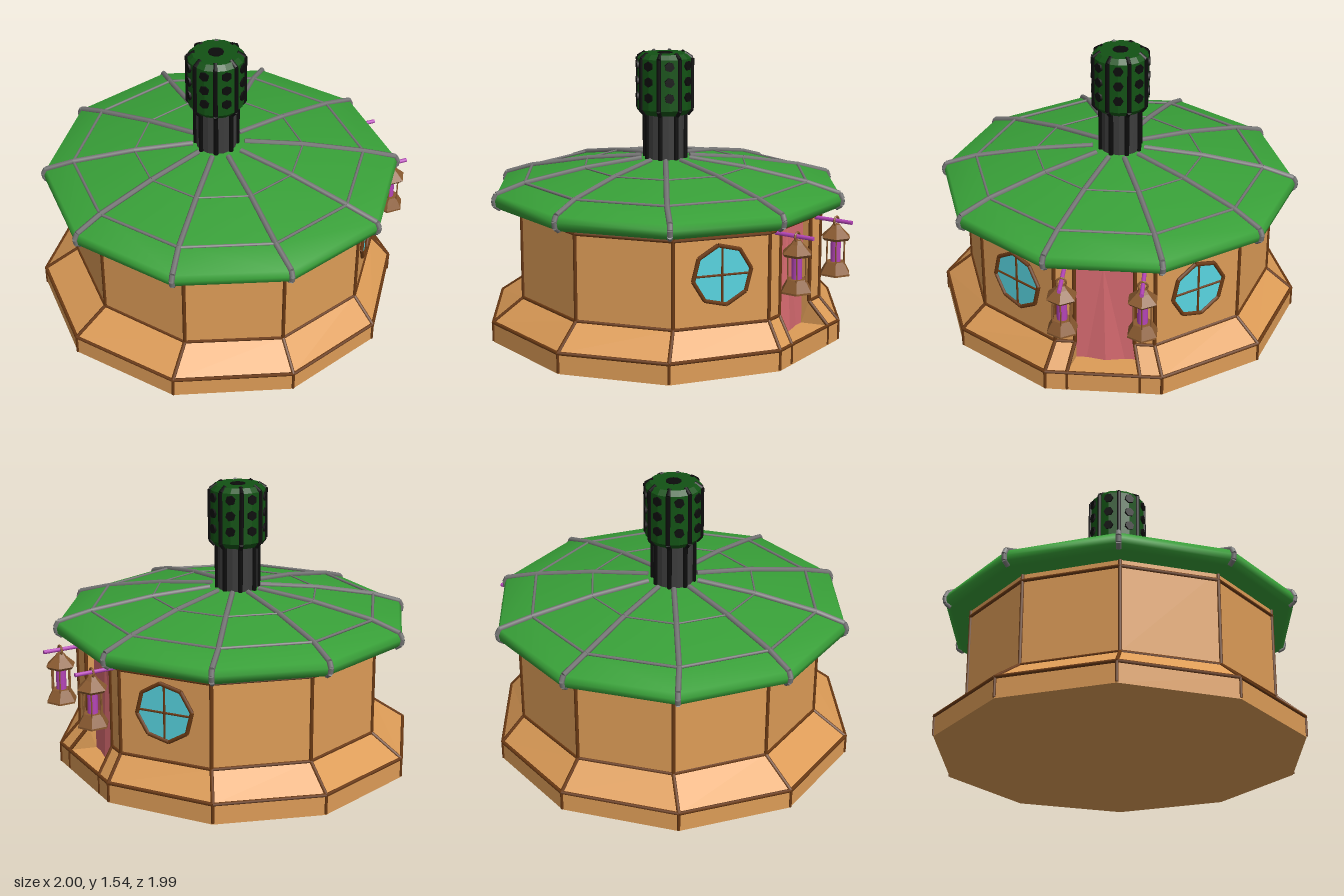
import * as THREE from 'three';

const V = (x, y, z) => new THREE.Vector3(x, y, z);
const mat = (color, opts = {}) => new THREE.MeshStandardMaterial({ color, ...opts });
const WOOD = mat(0xdd9c57, { side: THREE.DoubleSide, flatShading: true });
const TRIM = mat(0x6b3a14);
const LEAF = mat(0x38a038, { side: THREE.DoubleSide });
const GREY = mat(0x777777);
const PINK = mat(0xd66a70, { side: THREE.DoubleSide, flatShading: true });
const GLASS = mat(0x58d4e0);
const DARK = mat(0x3c3c3c, { flatShading: true });
const BLACK = mat(0x0c0c0c);
const MOSS = mat(0x125214, { flatShading: true });
const PURPLE = mat(0xb545b8);
const BROWN = mat(0x8a5a30, { flatShading: true });

const SIDES = 10;
const CX = -0.015;

function add(parent, name, geometry, material, pos) {
  const mesh = new THREE.Mesh(geometry, material);
  mesh.name = name;
  if (pos) mesh.position.copy(pos);
  parent.add(mesh);
  return mesh;
}

function group(parent, name) {
  const g = new THREE.Group();
  g.name = name;
  parent.add(g);
  return g;
}

// round bar between two points
function bar(parent, name, a, b, r, material, sides = 6) {
  const d = b.clone().sub(a);
  const mesh = add(parent, name, new THREE.CylinderGeometry(r, r, d.length(), sides), material,
    a.clone().add(b).multiplyScalar(0.5));
  mesh.quaternion.setFromUnitVectors(V(0, 1, 0), d.normalize());
  return mesh;
}

// flat polygons, each fanned from its first corner
function panels(parent, name, polys, material) {
  const p = [];
  for (const poly of polys)
    for (let i = 1; i < poly.length - 1; i++)
      for (const v of [poly[0], poly[i], poly[i + 1]]) p.push(v.x, v.y, v.z);
  const g = new THREE.BufferGeometry();
  g.setAttribute('position', new THREE.Float32BufferAttribute(p, 3));
  g.computeVertexNormals();
  return add(parent, name, g, material);
}

// ring of corners; side 0 lies between corners 0 and 1 and faces +x
function ring(rRight, rLeft, rz, y) {
  return Array.from({ length: SIDES }, (_, k) => {
    const a = THREE.MathUtils.degToRad(-18 + 36 * k), c = Math.cos(a);
    return V(CX + c * (c > 0 ? rRight : rLeft), y, Math.sin(a) * rz);
  });
}

function buildWalls(parent) {
  const B = ring(0.94, 1.03, 0.985, 0), M = ring(0.94, 1.03, 0.985, 0.11);
  const W = ring(0.836, 0.836, 0.836, 0.24), T = ring(0.836, 0.836, 0.836, 0.75);
  const top = ring(0.838, 0.838, 0.838, 0.7);
  const base = [], slope = [], wall = [];
  const trim = group(parent, 'timberTrim');
  for (let k = 0; k < SIDES; k++) {
    const n = (k + 1) % SIDES;
    base.push([B[n], B[k], M[k], M[n]]);
    if (k > 0) {
      slope.push([M[n], M[k], W[k], W[n]]);
      wall.push([W[n], W[k], T[k], T[n]]);
      bar(trim, 'sillTrim', W[k], W[n], 0.01, TRIM);
    }
    bar(trim, 'plinthTrim', M[k], M[n], 0.01, TRIM);
    bar(trim, 'eaveTrim', top[k], top[n], 0.01, TRIM);
    bar(trim, 'plinthCorner', B[k].clone().setY(0.006), M[k], 0.008, TRIM);
    bar(trim, 'slopeCorner', M[k], W[k], 0.01, TRIM);
    bar(trim, 'wallCorner', W[k], T[k], 0.01, TRIM);
  }
  // recessed doorway in the +x side
  const xm = M[0].x, xw = W[0].x, xd = 0.735;
  for (const s of [-1, 1]) {
    const k = s < 0 ? 0 : 1;
    const m = V(xm, 0.11, s * 0.19), w = V(xw, 0.24, s * 0.155), t = V(xw, 0.75, s * 0.155);
    const d = V(xd, 0.11, s * 0.155), dt = V(xd, 0.75, s * 0.155);
    const strips = [[M[k], m, w, W[k]], [W[k], w, t, T[k]]];
    if (s > 0) strips.forEach((q) => q.reverse());
    slope.push(strips[0], s > 0 ? [m, w, d] : [m, d, w]);
    wall.push(strips[1], s > 0 ? [w, t, dt, d] : [w, d, dt, t]);
    bar(trim, 'doorPost', w, t, 0.01, TRIM);
    bar(trim, 'doorSlopeTrim', m, w, 0.01, TRIM);
    bar(trim, 'doorPlinthTrim', V(xm, 0.006, s * 0.19), m, 0.007, TRIM);
    bar(trim, 'doorSill', w, W[k], 0.01, TRIM);
  }
  slope.push([V(xm, 0.11, 0.19), V(xm, 0.11, -0.19), V(xd, 0.11, -0.155), V(xd, 0.11, 0.155)]);
  panels(parent, 'plinth', [...base, B], WOOD);
  panels(parent, 'slopedSkirt', slope, WOOD);
  panels(parent, 'walls', wall, WOOD);

  // door panel with a shallow pleat
  const apex = V(xd + 0.002, 0.68, 0.01), l = V(xd, 0.11, 0.1), r = V(xd, 0.11, -0.1);
  const mid = V(xd + 0.02, 0.11, 0);
  add(parent, 'door', new THREE.BoxGeometry(0.01, 0.62, 0.31), PINK, V(xd - 0.005, 0.42, 0));
  panels(parent, 'doorPleat', [[apex, l, mid], [apex, mid, r]], PINK);
}

// octagonal window facing local +z
function buildWindow(parent, angle) {
  const g = group(parent, 'window');
  g.position.set(CX + 0.797 * Math.cos(angle), 0.507, 0.797 * Math.sin(angle));
  g.rotation.y = Math.PI / 2 - angle;
  const R = 0.157;
  const pane = add(g, 'windowPane', new THREE.CircleGeometry(R, 8), GLASS, V(0, 0, 0.004));
  pane.rotation.z = 0.15;
  const corner = (i) => V(R * Math.cos(0.15 + i * Math.PI / 4), R * Math.sin(0.15 + i * Math.PI / 4), 0.006);
  for (let i = 0; i < 8; i++) bar(g, 'windowFrame', corner(i), corner(i + 1), 0.011, TRIM);
  bar(g, 'windowMuntin', V(-R, 0, 0.006), V(R, 0, 0.006), 0.006, TRIM);
  bar(g, 'windowMuntin', V(0, -R, 0.006), V(0, R, 0.006), 0.006, TRIM);
}

function buildRoof(parent) {
  const cx = -0.035;
  const profile = [[0.78, 0.735], [0.935, 0.73], [0.965, 0.75], [0.97, 0.78], [0.955, 0.81],
    [0.79, 0.858], [0.457, 0.918], [0.14, 0.952], [0, 0.955]].map(([r, y]) => new THREE.Vector2(r, y));
  add(parent, 'roof', new THREE.LatheGeometry(profile, SIDES), LEAF, V(cx, 0, 0));
  const ribs = group(parent, 'roofRibs');
  const at = (i, k) => {
    const a = k * Math.PI * 2 / SIDES, p = profile[i];
    // upper ribs drift slightly toward the chimney
    const x = cx - (i > 4 ? 0.015 : 0);
    return V(x + p.x * Math.sin(a), p.y + 0.004, p.x * Math.cos(a));
  };
  for (let k = 0; k < SIDES; k++) {
    for (let i = 1; i < 7; i++) bar(ribs, 'rib', at(i, k), at(i + 1, k), 0.015, GREY);
    bar(ribs, 'outerRing', at(5, k), at(5, k + 1), 0.008, GREY);
    bar(ribs, 'innerRing', at(6, k), at(6, k + 1), 0.005, GREY);
  }
}

function buildChimney(parent) {
  const g = group(parent, 'chimney');
  g.position.set(-0.06, 0, -0.01);
  add(g, 'chimneyStem', new THREE.CylinderGeometry(0.11, 0.11, 0.28, 16), DARK, V(0, 1.08, 0));
  const cap = [[0, 1.195], [0.125, 1.195], [0.15, 1.225], [0.15, 1.5], [0.125, 1.525], [0, 1.525]]
    .map(([r, y]) => new THREE.Vector2(r, y));
  add(g, 'chimneyCap', new THREE.LatheGeometry(cap, 16), MOSS);
  add(g, 'chimneyVent', new THREE.CylinderGeometry(0.042, 0.042, 0.01, 10), BLACK, V(0, 1.524, 0));
  for (let k = 0; k < 8; k++) {
    const a = (k + 0.5) * Math.PI / 4, b = k * Math.PI / 4;
    const p = (r, y) => V(r * Math.sin(a), y, r * Math.cos(a));
    bar(g, 'stemRib', p(0.112, 0.94), p(0.112, 1.2), 0.013, BLACK);
    for (let i = 1; i < 4; i++)
      bar(g, 'capRib', p(cap[i].x, cap[i].y), p(cap[i + 1].x - (i === 3 ? 0.015 : 0), cap[i + 1].y), 0.012, BLACK);
    for (const y of [1.295, 1.38, 1.465]) {
      const d = V(Math.sin(b), 0, Math.cos(b));
      bar(g, 'capHole', d.clone().multiplyScalar(0.13).setY(y), d.clone().multiplyScalar(0.157).setY(y), 0.027, BLACK);
    }
  }
}

// hexagonal lantern hung from a pole
function buildLantern(parent, z) {
  const g = group(parent, 'lantern');
  g.position.set(0.907, 0, z);
  const hex = (name, r1, r2, y0, y1) => {
    const m = add(g, name, new THREE.CylinderGeometry(r1, r2, y1 - y0, 6), BROWN, V(0, (y0 + y1) / 2, 0));
    m.rotation.y = Math.PI / 6 + Math.PI / 3;
  };
  bar(g, 'lanternPole', V(-0.14, 0.69, 0), V(0.093, 0.69, 0), 0.011, PURPLE, 8);
  add(g, 'lanternRing', new THREE.TorusGeometry(0.024, 0.006, 6, 12), BROWN, V(0, 0.687, 0)).rotation.y = Math.PI / 2;
  hex('lanternRoof', 0.035, 0.083, 0.605, 0.65);
  hex('lanternRoofRim', 0.083, 0.07, 0.59, 0.605);
  hex('lanternTop', 0.02, 0.035, 0.65, 0.67);
  hex('lanternBase', 0.05, 0.085, 0.41, 0.47);
  hex('lanternFoot', 0.085, 0.085, 0.4, 0.41);
  bar(g, 'lanternLight', V(0, 0.465, 0), V(0, 0.6, 0), 0.027, PURPLE, 10);
  for (let k = 0; k < 6; k++) {
    const a = k * Math.PI / 3, x = 0.052 * Math.cos(a), zz = 0.052 * Math.sin(a);
    bar(g, 'lanternBar', V(x, 0.46, zz), V(x, 0.6, zz), 0.004, BROWN, 5);
  }
}

export function createModel() {
  const model = new THREE.Group();
  model.name = 'roundHut';
  buildWalls(model);
  for (const s of [-1, 1]) {
    buildWindow(model, s * Math.PI / 5);
    buildLantern(model, s * 0.203);
  }
  buildRoof(model);
  buildChimney(model);
  return model;
}
